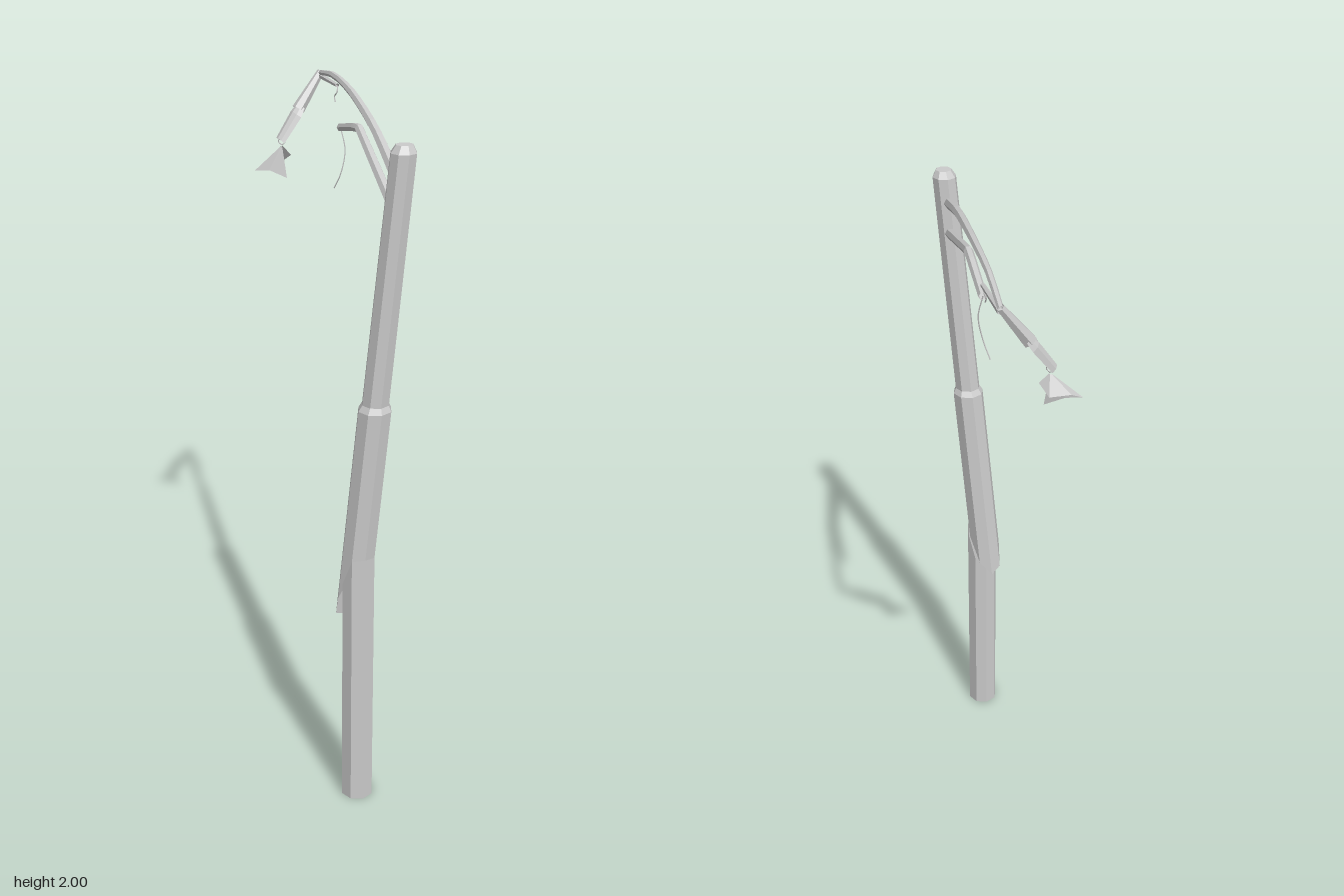
import * as THREE from 'three';

const material = new THREE.MeshStandardMaterial({
  color: 0xcccccc, flatShading: true, side: THREE.DoubleSide,
});
const V = (x, y, z) => new THREE.Vector3(x, y, z);
const SIDES = 8;

function addMesh(parent, name, geometry) {
  const flat = geometry.index ? geometry.toNonIndexed() : geometry;
  flat.computeVertexNormals();
  const mesh = new THREE.Mesh(flat, material);
  mesh.name = name;
  parent.add(mesh);
  return mesh;
}

// Skin between rows that hold the same number of points
function loft(rows) {
  const n = rows[0].length;
  const index = [];
  for (let i = 0; i < rows.length - 1; i++) {
    for (let j = 0; j < n - 1; j++) {
      const a = i * n + j, d = a + n;
      index.push(a, d, a + 1, a + 1, d, d + 1);
    }
  }
  const g = new THREE.BufferGeometry().setFromPoints(rows.flat());
  g.setIndex(index);
  return g;
}

// Closed ring around a leaning axis; height may vary with the angle
function ring(axis, radius, height) {
  return Array.from({ length: SIDES + 1 }, (_, i) => {
    const a = (i / SIDES) * Math.PI * 2;
    const y = typeof height === 'function' ? height(a) : height;
    const c = axis(y);
    return V(c.x + radius * Math.cos(a), y, c.z + radius * Math.sin(a));
  });
}

// Tube along points, its radius running from r0 to r1
function taperedTube(curve, segments, r0, r1, sides) {
  const g = new THREE.TubeGeometry(curve, segments, 1, sides);
  const p = g.attributes.position;
  const v = V();
  for (let i = 0; i < p.count; i++) {
    const t = Math.floor(i / (sides + 1)) / segments;
    const c = curve.getPointAt(t);
    v.fromBufferAttribute(p, i).sub(c);
    v.multiplyScalar(THREE.MathUtils.lerp(r0, r1, t)).add(c);
    p.setXYZ(i, v.x, v.y, v.z);
  }
  return g;
}
const smooth = (...pts) => new THREE.CatmullRomCurve3(pts);

function wire(parent, name, ...pts) {
  addMesh(parent, name, taperedTube(smooth(...pts), 10, 0.0018, 0.0018, 4));
}

export function createModel() {
  const model = new THREE.Group();
  model.name = 'brokenStreetLamp';

  // Upright stump with a slanted break
  const upright = () => V(-0.095, 0, 0.399);
  addMesh(model, 'lowerPost', loft([
    ring(upright, 0.048, 0),
    ring(upright, 0.048, (a) => Math.min(0.81, 0.72 + 0.12 * Math.sin(a))),
  ]));

  // Leaning upper pole: split foot, shoulder, slim shaft and chamfered cap
  const leaning = (y) => V(-0.058 + 0.076 * (y - 1.25), 0, 0.417 + 0.055 * (y - 1.25));
  addMesh(model, 'leaningPole', loft([
    ring(leaning, 0.048, (a) => 0.69 + 0.11 * Math.sin(a) + 0.02 * Math.cos(a)),
    ring(leaning, 0.047, 1.245),
    ring(leaning, 0.038, 1.262),
    ring(leaning, 0.035, 1.935),
    ring(leaning, 0.023, 1.955),
    ring(leaning, 0, 1.955),
  ]));

  // Long curved arm
  addMesh(model, 'upperArm', taperedTube(smooth(
    V(-0.013, 1.86, 0.44), V(0.033, 1.931, 0.193), V(0.067, 1.966, 0),
    V(0.091, 1.984, -0.15), V(0.115, 1.989, -0.325), V(0.137, 1.968, -0.48),
  ), 12, 0.016, 0.008, 6));

  // Bent brace, snapped off at its far end
  const brace = new THREE.CurvePath();
  const start = V(-0.013, 1.768, 0.44), bend = V(0.064, 1.903, 0), end = V(0.087, 1.863, -0.19);
  brace.add(new THREE.LineCurve3(start, bend));
  brace.add(new THREE.LineCurve3(bend, end));
  addMesh(model, 'lowerArm', taperedTube(brace, 13, 0.015, 0.012, 6));
  wire(model, 'braceWire', end, V(0.095, 1.80, -0.175),
    V(0.082, 1.73, -0.177), V(0.07, 1.685, -0.198));

  // Snapped stub of the brace still attached to the arm tip
  const stubEnd = V(0.129, 1.957, -0.32);
  addMesh(model, 'braceStub', taperedTube(
    new THREE.LineCurve3(V(0.136, 1.96, -0.475), stubEnd), 1, 0.009, 0.006, 6));
  wire(model, 'stubWire', stubEnd, V(0.125, 1.94, -0.312), V(0.122, 1.925, -0.325), V(0.122, 1.91, -0.318));

  // Hanging lamp head: tapered neck, then an open trough-shaped shade
  const head = new THREE.Group();
  head.name = 'lampHead';
  model.add(head);
  const top = V(0.138, 1.972, -0.478), tip = V(-0.005, 1.78, -0.452);
  const along = (t) => top.clone().lerp(tip, t);
  addMesh(head, 'neck', taperedTube(new THREE.LineCurve3(top, along(0.55)), 1, 0.011, 0.02, 6));
  const across = V(0.8, -0.6, 0);
  const shadeRow = (t, r) => Array.from({ length: 6 }, (_, i) => {
    const a = (i / 5) * Math.PI;
    return along(t).addScaledVector(across, r * (0.4 - Math.sin(a)))
      .add(V(0, 0, r * 0.95 * Math.cos(a)));
  });
  addMesh(head, 'shade', loft([shadeRow(0.5, 0.02), shadeRow(0.62, 0.027), shadeRow(1, 0.022)]));

  // Broken shade tip dangling from two wires
  const apex = V(0, 1.765, -0.45);
  const rim = [
    V(0.025, 1.735, -0.44), V(0.01, 1.71, -0.475), V(-0.045, 1.712, -0.483),
    V(-0.083, 1.69, -0.468), V(-0.04, 1.69, -0.455), V(0.008, 1.667, -0.432),
  ];
  const neckOf = rim.map((p) => apex.clone().lerp(p, 0.08));
  addMesh(head, 'shadeTip', loft([neckOf, rim]));
  for (const s of [-1, 1]) {
    wire(head, 'tipWire', along(0.96).add(V(0.006 * s, 0, 0)),
      V(0.008 * s, 1.775, -0.452 + 0.006 * s), apex);
  }

  return model;
}
